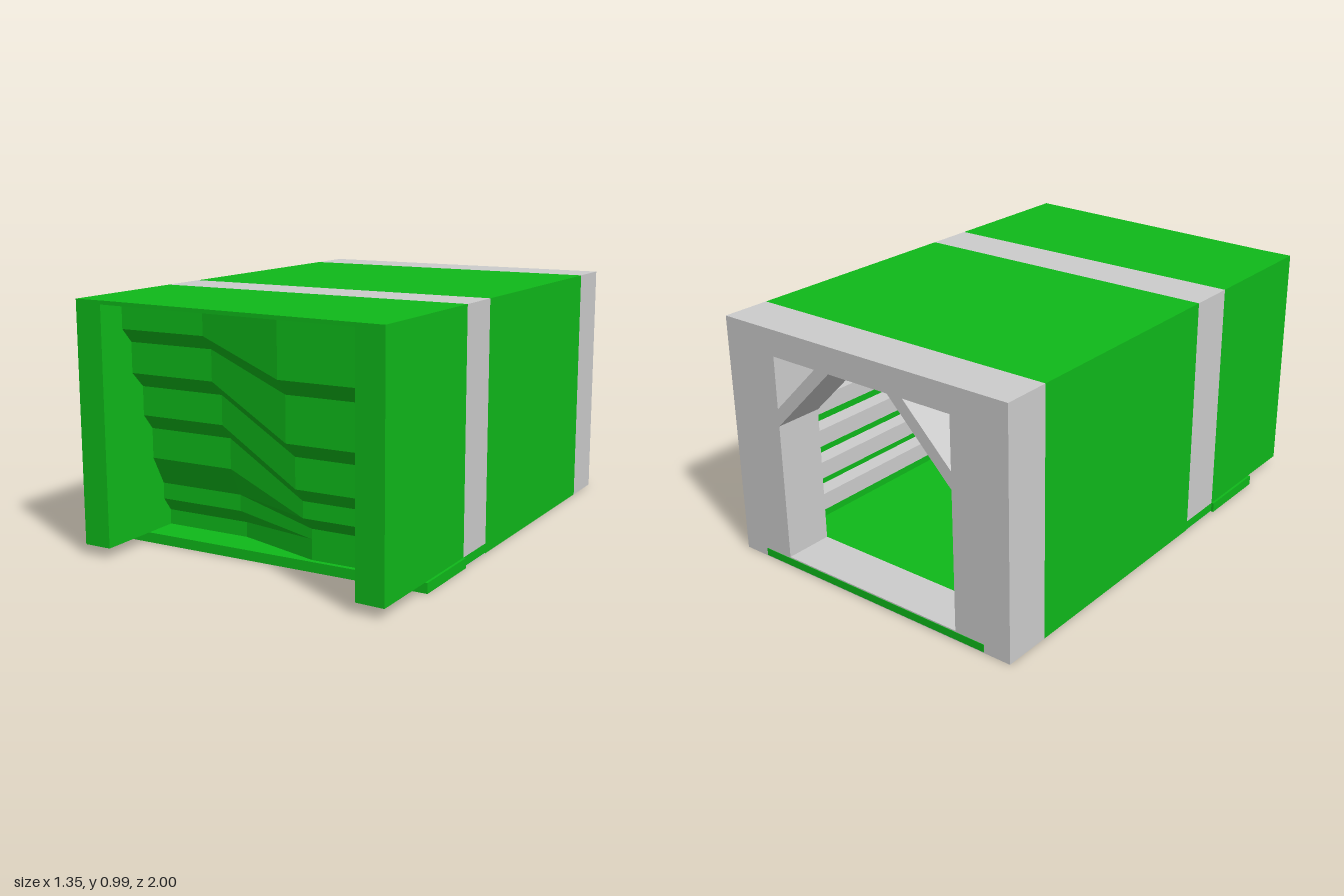
import * as THREE from 'three';

const GREEN = 0x0fb81a;
const green = new THREE.MeshStandardMaterial({ color: GREEN, flatShading: true });
const greenSheet = new THREE.MeshStandardMaterial({ color: GREEN, flatShading: true, side: THREE.DoubleSide });
const grey = new THREE.MeshStandardMaterial({ color: 0xcccccc, flatShading: true });

export function createModel() {
  const group = new THREE.Group();
  const add = (name, geometry, material) => {
    const mesh = new THREE.Mesh(geometry, material);
    mesh.name = name;
    group.add(mesh);
    return mesh;
  };
  // Box given by its minimum and maximum on each axis
  const box = (name, material, x0, x1, y0, y1, z0, z1) =>
    add(name, new THREE.BoxGeometry(x1 - x0, y1 - y0, z1 - z0), material)
      .position.set((x0 + x1) / 2, (y0 + y1) / 2, (z0 + z1) / 2);

  const W = 0.665, IN = 0.55, TOP = 0.985, ROOF = 0.97, FLOOR = 0.04;

  // Side walls and roof in green sections with a grey band between them
  const sections = [[-0.8, 0.18, green], [0.18, 0.38, grey]];
  for (const [z0, z1, material] of sections) {
    const kind = material === grey ? 'Band' : '';
    box('rightWall' + kind, material, -W, -IN, FLOOR, TOP, z0, z1);
    box('leftWall' + kind, material, IN, W, FLOOR, TOP, z0, z1);
    box('roof' + kind, material, -IN, IN, ROOF, TOP, z0, z1);
  }
  box('rightFrontWall', green, -W, -IN, FLOOR, TOP, 0.38, 0.94);
  // Left front wall and front roof follow the slanted front edge
  const plan = (points, y0, y1) => {
    const shape = new THREE.Shape(points.map(([x, z]) => new THREE.Vector2(x, -z)));
    return new THREE.ExtrudeGeometry(shape, { depth: y1 - y0, bevelEnabled: false })
      .rotateX(-Math.PI / 2).translate(0, y0, 0);
  };
  add('leftFrontWall', plan([[IN, 0.38], [W, 0.38], [W, 1], [IN, 0.994]], FLOOR, TOP), green);
  add('frontRoof', plan([[-IN, 0.38], [IN, 0.38], [IN, 0.994], [-0.5, 0.942], [-IN, 0.94]], ROOF, TOP), green);

  // Floor slab, wider near the front, with a grey band underneath
  box('floorRear', green, -W, W, 0, FLOOR, -0.8, 0.18);
  box('floorMiddle', green, -W, W, 0.003, FLOOR, 0.18, 0.38);
  box('floorBand', grey, -W, W, 0, 0.003, 0.18, 0.38);
  box('floorFront', green, -0.675, 0.675, 0, FLOOR, 0.38, 0.7);

  // Rear portal: pillars, lintel and sill with corner braces
  const portal = new THREE.Shape([[-W, 0], [W, 0], [W, TOP], [-W, TOP]].map((p) => new THREE.Vector2(...p)));
  const hole = (points) => portal.holes.push(new THREE.Path(points.map((p) => new THREE.Vector2(...p))));
  hole([[-0.42, FLOOR], [-0.42, 0.6], [-0.14, 0.88], [0.14, 0.88], [0.42, 0.6], [0.42, FLOOR]]);
  for (const s of [-1, 1]) hole([[s * 0.42, 0.67], [s * 0.42, 0.88], [s * 0.21, 0.88]]);
  add('rearPortal',
    new THREE.ExtrudeGeometry(portal, { depth: 0.198, bevelEnabled: false }).translate(0, 0, -0.998), grey);
  box('rearSillEdge', green, -IN, IN, 0.004, 0.035, -1, -0.99);

  // Grey slats along the inside of both walls
  for (const s of [-1, 1]) {
    for (let i = 0; i < 6; i++) {
      const y = 0.12 + i * 0.14, a = s * (IN + 0.01), b = s * 0.48;
      box(s < 0 ? 'rightSlat' : 'leftSlat', grey, Math.min(a, b), Math.max(a, b), y, y + 0.07, -0.8, 0.56);
    }
  }

  // Stepped front panel: two offset profiles joined by a slanting middle
  const depth = [0.82, 0.82, 0.77, 0.77, 0.71, 0.71, 0.66, 0.66, 0.6, 0.6, 0.56, 0.56];
  const rightY = [0.975, 0.865, 0.81, 0.69, 0.63, 0.515, 0.455, 0.335, 0.22, 0.155, 0.1, FLOOR];
  const leftY = [0.975, 0.75, 0.69, 0.515, 0.455, 0.335, 0.28, 0.215, 0.16, 0.12, 0.08, FLOOR];
  const columns = [[-IN, rightY, 0], [-0.18, rightY, 0], [0.19, leftY, 0.08], [IN, leftY, 0.08]];
  const positions = [], index = [], n = depth.length;
  columns.forEach(([x, ys, shift], c) => {
    ys.forEach((y, i) => {
      // The last two points on the shifted side stay in line with the face above
      const z = shift && i > 9 ? 0.6 : depth[i];
      positions.push(x, y, z + shift);
      if (c < 3 && i < n - 1) {
        const a = c * n + i, b = a + n;
        index.push(a, a + 1, b, b, a + 1, b + 1);
      }
    });
  });
  const panel = new THREE.BufferGeometry();
  panel.setAttribute('position', new THREE.Float32BufferAttribute(positions, 3));
  panel.setIndex(index);
  const facets = panel.toNonIndexed();
  facets.computeVertexNormals();
  add('steppedFrontPanel', facets, greenSheet);

  return group;
}
